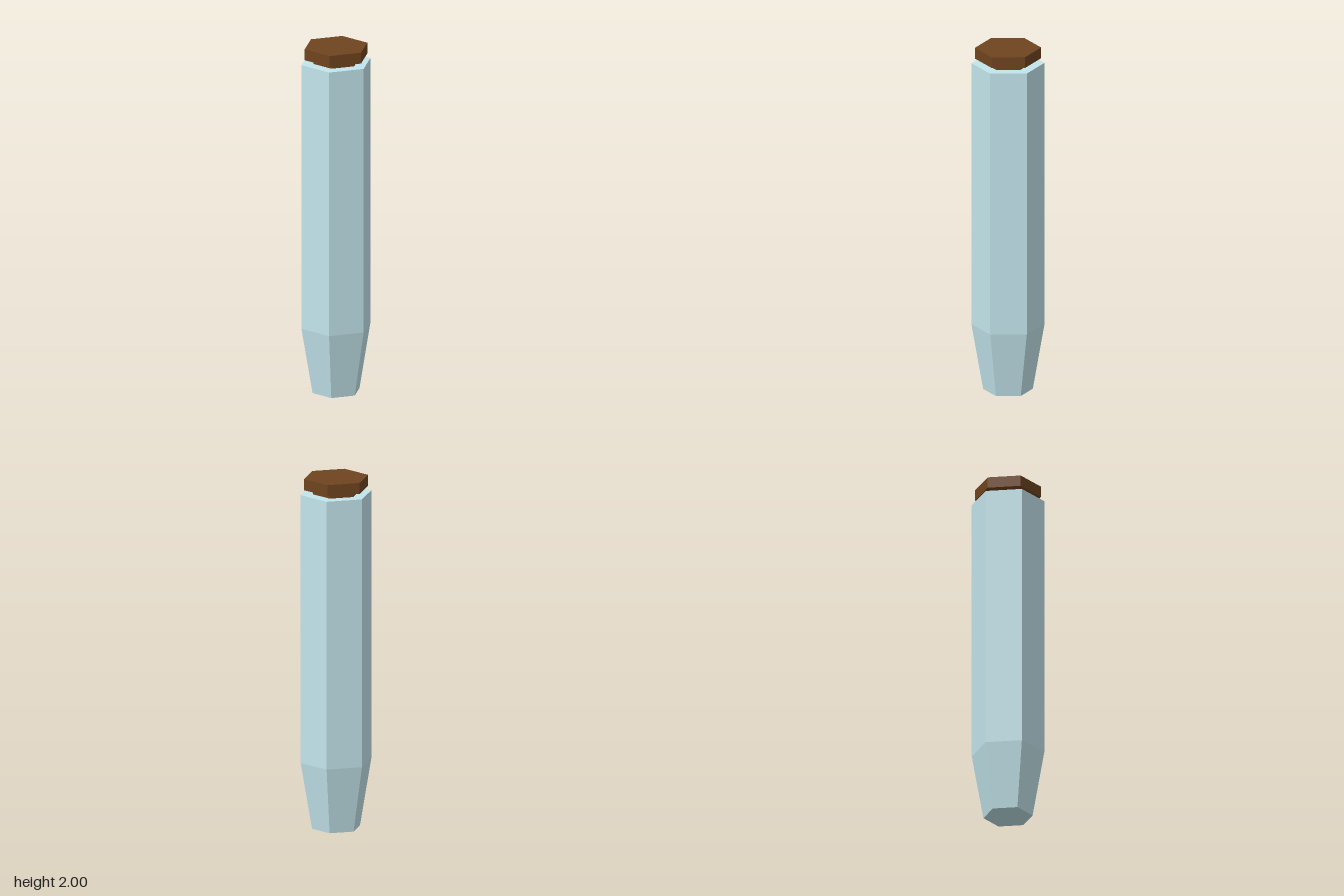
import * as THREE from 'three';

// Six-sided prism or frustum between two heights, corners pointing along z
function hexPart(name, material, bottomRadius, topRadius, y0, y1, open = false) {
  const geometry = new THREE.CylinderGeometry(topRadius, bottomRadius, y1 - y0, 6, 1, open);
  geometry.translate(0, (y0 + y1) / 2, 0);
  const mesh = new THREE.Mesh(geometry, material);
  mesh.name = name;
  return mesh;
}

export function createModel() {
  const glass = new THREE.MeshStandardMaterial({ color: 0xc3e5ec, flatShading: true });
  const cork = new THREE.MeshStandardMaterial({ color: 0x6f441f, flatShading: true });

  const model = new THREE.Group();
  model.name = 'hexagonalVial';

  // Vial: a straight body, with a tapered foot closed underneath
  const vial = new THREE.Group();
  vial.name = 'vial';
  const profile = [[0, 0], [0.137, 0], [0.202, 0.38], [0.202, 1.91], [0, 1.91]];
  const body = new THREE.Mesh(
    new THREE.LatheGeometry(profile.map(([r, y]) => new THREE.Vector2(r, y)), 6),
    glass
  );
  body.name = 'vialBody';
  vial.add(body);

  // Stopper: a narrow neck under a wider cap
  const stopper = new THREE.Group();
  stopper.name = 'stopper';
  stopper.add(
    hexPart('stopperNeck', cork, 0.132, 0.132, 1.91, 1.937, true),
    hexPart('stopperCap', cork, 0.183, 0.183, 1.937, 2)
  );

  model.add(vial, stopper);
  return model;
}
